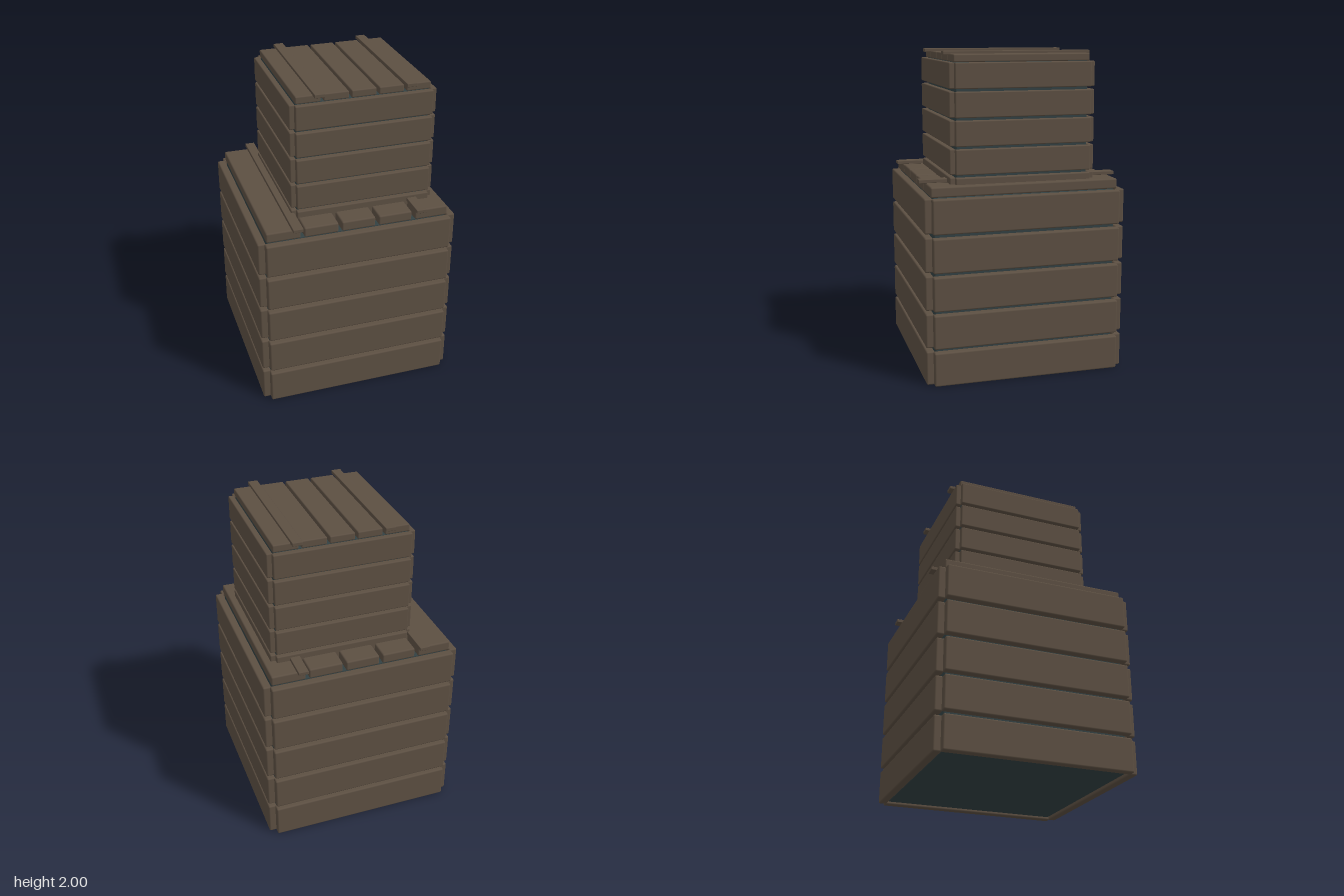
import * as THREE from 'three';
import { RoundedBoxGeometry } from 'three/addons/geometries/RoundedBoxGeometry.js';

const wood = new THREE.MeshStandardMaterial({ color: 0x5c4f42 });
wood.name = 'brown wood';
const lining = new THREE.MeshStandardMaterial({ color: 0x324042 });
lining.name = 'dark lining';

// Box with softly rounded edges, placed by its centre
function block(parent, name, mat, [w, h, d], [x, y, z], r) {
  const mesh = new THREE.Mesh(new RoundedBoxGeometry(w, h, d, 2, r), mat);
  mesh.name = name;
  mesh.position.set(x, y, z);
  parent.add(mesh);
}

// Slatted crate; s scales all but the width and height of the lid battens
function crate(name, s, battenHalfLength) {
  const g = new THREE.Group();
  g.name = name;
  const r = 0.01 * s, pitch = 0.235 * s, width = 0.212 * s;

  // Inner box seen through the gaps
  block(g, 'innerBox', lining, [1.142 * s, 1.14 * s, 1.142 * s], [0, 0.585 * s, 0], r);

  // Five rows of wall boards on four sides
  const long = 1.174 * s, thick = 0.052 * s, out = 0.604 * s;
  for (let i = 0; i < 5; i++) {
    const y = 0.108 * s + i * pitch;
    for (const side of [-1, 1]) {
      block(g, side > 0 ? 'frontBoard' : 'backBoard', wood, [long, width, thick], [0, y, side * out], r);
      block(g, side > 0 ? 'leftBoard' : 'rightBoard', wood, [thick, width, long], [side * out, y, 0], r);
    }
  }

  // Lid planks running front to back
  for (let i = -2; i <= 2; i++) {
    block(g, 'lidPlank', wood, [width, 0.063 * s, long], [i * pitch, 1.187 * s, 0], r);
  }

  // Thin battens over the outer lid gaps
  for (const side of [-1, 1]) {
    block(g, 'lidBatten', wood, [0.062, 0.022, 2 * battenHalfLength], [side * 0.389 * s, 1.24 * s - 0.011, 0], 0.003);
  }
  return g;
}

export function createModel() {
  const model = new THREE.Group();
  model.name = 'stackedCrates';
  model.add(crate('largeCrate', 1, 0.627));
  const small = crate('smallCrate', 0.722, 0.463);
  small.position.set(0.077, 1.104, 0);
  model.add(small);
  return model;
}
